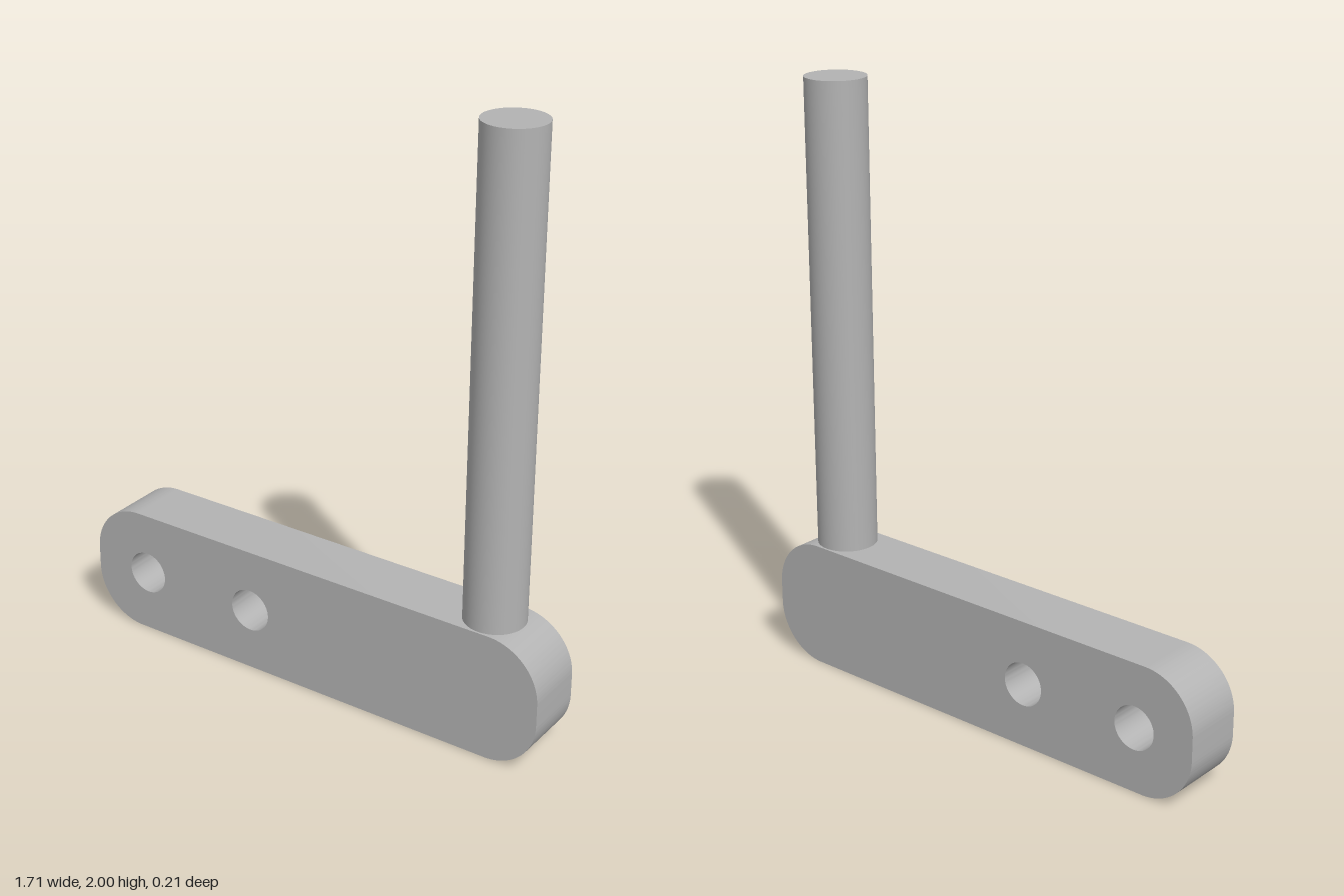
import * as THREE from 'three';
import { toCreasedNormals } from 'three/addons/utils/BufferGeometryUtils.js';

export function createModel() {
  const model = new THREE.Group();
  model.name = 'crankArm';
  const grey = new THREE.MeshStandardMaterial({ color: 0xb3b3b3 });
  grey.name = 'grey';

  const halfLength = 0.857, height = 0.43, depth = 0.214, corner = 0.178;

  // Arm outline: rectangle with large rounded corners
  const outline = new THREE.Shape();
  const cx = halfLength - corner, top = height - corner;
  outline.moveTo(-cx, 0);
  outline.lineTo(cx, 0);
  outline.absarc(cx, corner, corner, -Math.PI / 2, 0, false);
  outline.absarc(cx, top, corner, 0, Math.PI / 2, false);
  outline.absarc(-cx, top, corner, Math.PI / 2, Math.PI, false);
  outline.absarc(-cx, corner, corner, Math.PI, Math.PI * 1.5, false);

  // Two through holes
  for (const x of [-0.645, -0.215]) {
    const hole = new THREE.Path();
    hole.absarc(x, height / 2, 0.073, 0, Math.PI * 2, true);
    outline.holes.push(hole);
  }

  const armGeometry = new THREE.ExtrudeGeometry(outline, { depth, bevelEnabled: false, curveSegments: 32 });
  armGeometry.translate(0, 0, -depth / 2);
  const arm = new THREE.Mesh(toCreasedNormals(armGeometry, 0.5), grey);
  arm.name = 'arm';
  model.add(arm);

  // Upright rod standing on the arm's top edge
  const rodLength = 2 - height;
  const rod = new THREE.Mesh(new THREE.CylinderGeometry(0.1, 0.1, rodLength, 64), grey);
  rod.name = 'rod';
  rod.position.set(0.64, height + rodLength / 2, 0);
  model.add(rod);

  return model;
}
